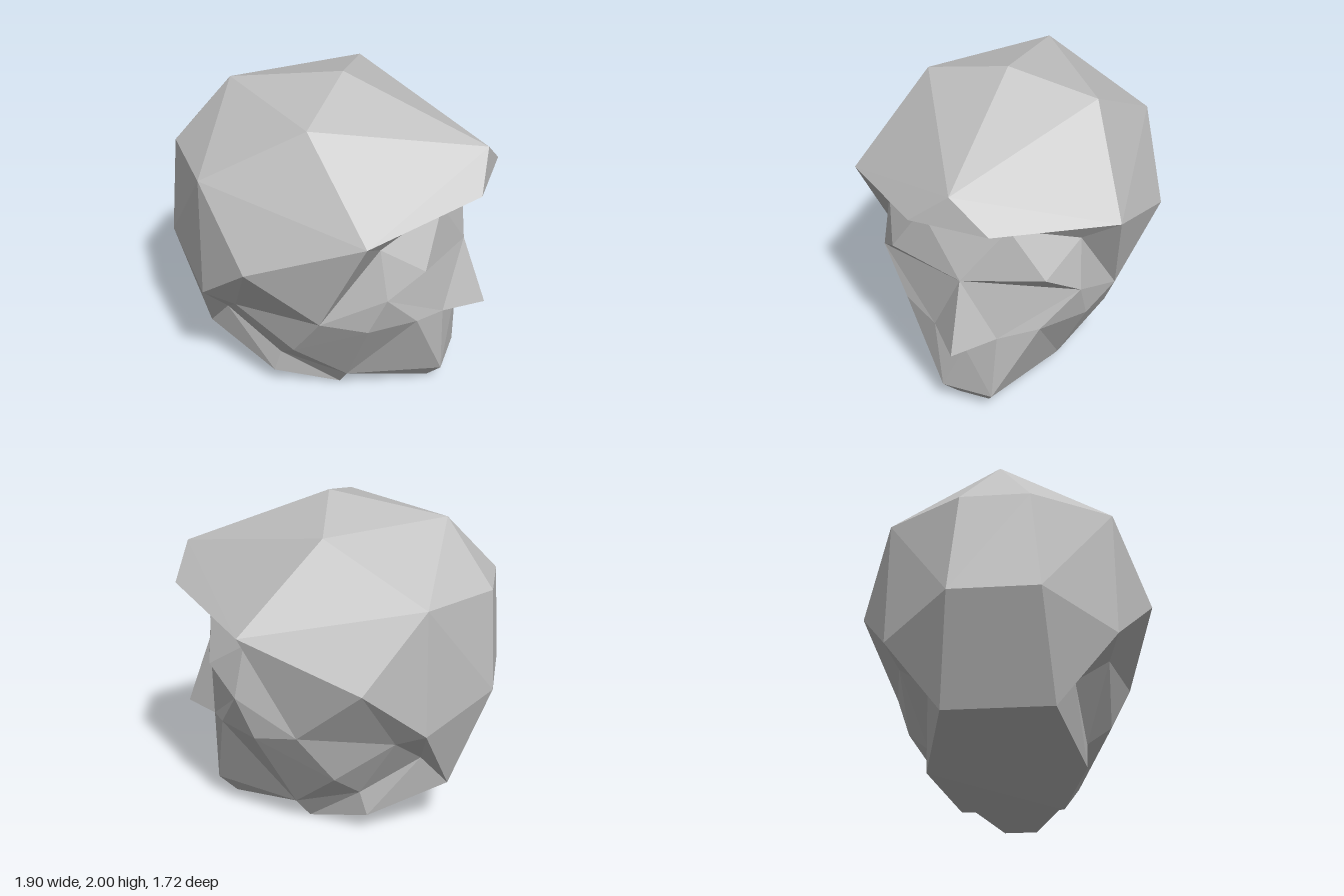
import * as THREE from 'three';

// Corner points of the +z half; z = 0 points lie on the symmetry plane.
const P = {
  // skull
  crown: [0.05, 2, 0], crownBack: [-0.64, 1.87, 0], crownSide: [0, 1.87, 0.52],
  sideBack: [-0.6, 1.53, 0.65], browCorner: [0.43, 1.37, 0.815], hairTip: [0.91, 1.65, 0],
  hairEdge: [0.93, 1.46, 0.235], backTop: [-0.925, 1.51, 0.2], backLow: [-0.955, 0.915, 0.26],
  ear: [-0.27, 1.09, 0.86], earBack: [-0.61, 0.775, 0.66], nape: [-0.715, 0.31, 0.315],
  // face
  temple: [0.125, 0.73, 0.71], brow: [0.71, 1.375, 0.26], socket: [0.445, 1.235, 0.592],
  eye: [0.68, 1.06, 0.47], bridge: [0.8, 1.02, 0], cheek: [0.5, 0.915, 0.617],
  cheekLow: [0.39, 0.67, 0.62], cheekFront: [0.63, 0.665, 0.42],
  nostril: [0.735, 0.605, 0.195], noseTip: [0.95, 0.585, 0], noseBase: [0.755, 0.495, 0],
  // jaw and neck
  chin: [0.735, 0.14, 0.158], chinLow: [0.635, 0.02, 0.1], jaw: [-0.075, 0.42, 0.595],
  jawLow: [0.195, 0.14, 0.385], jawBack: [-0.205, 0.275, 0.455], earLow: [-0.43, 0.685, 0.6],
  neckBack: [-0.56, 0.515, 0.41], neckSide: [-0.25, 0.12, 0.455], neckFront: [0.125, 0, 0.3],
  throat: [0.21, 0.045, 0],
};

// A trailing ' on a point name means its mirrored twin on the -z side.
function point(name) {
  const [x, y, z] = P[name.replace("'", '')];
  return [x, y, name.endsWith("'") ? -z : z];
}

// Builds a faceted part: sides are mirrored across z, middles are used once.
function part(name, material, sides, middles = []) {
  const positions = [];
  const add = (corners) => {
    for (let i = 1; i < corners.length - 1; i++) {
      positions.push(...corners[0], ...corners[i], ...corners[i + 1]);
    }
  };
  for (const face of sides) {
    const corners = face.split(' ').map(point);
    add(corners);
    add(corners.map(([x, y, z]) => [x, y, -z]).reverse());
  }
  for (const face of middles) add(face.split(' ').map(point));
  const geometry = new THREE.BufferGeometry();
  geometry.setAttribute('position', new THREE.Float32BufferAttribute(positions, 3));
  geometry.computeVertexNormals();
  const mesh = new THREE.Mesh(geometry, material);
  mesh.name = name;
  return mesh;
}

export function createModel() {
  const grey = new THREE.MeshStandardMaterial({ color: 0xc0c0c0, flatShading: true });
  grey.name = 'plain grey';
  const head = new THREE.Group();
  head.name = 'head';

  head.add(
    part('cranium', grey, [
      'crown crownBack crownSide', 'crownBack sideBack crownSide', 'crownBack backTop sideBack',
      'crownSide sideBack browCorner', 'sideBack ear browCorner', 'sideBack earBack ear',
      'sideBack backTop backLow', 'sideBack backLow earBack', 'earBack backLow nape',
      'crown crownSide hairTip', 'crownSide browCorner hairTip', 'browCorner hairEdge hairTip',
    ], [
      "crownBack backTop' backTop", "backTop backTop' backLow' backLow",
      "backLow backLow' nape' nape", "hairTip hairEdge hairEdge'",
    ]),
    part('browUnderside', grey, [
      'browCorner brow hairEdge', 'browCorner socket brow', 'browCorner temple socket',
      'ear temple browCorner', 'ear earLow temple', 'ear earBack earLow',
    ], ["hairEdge brow brow' hairEdge'"]),
    part('eyesAndForehead', grey, [
      'temple cheek socket', 'socket cheek eye', 'socket eye brow', 'brow eye bridge',
      'eye cheek bridge',
    ], ["brow bridge brow'"]),
    part('nose', grey, ['bridge nostril noseTip', 'nostril noseBase noseTip']),
    part('cheeks', grey, [
      'temple cheekLow cheek', 'cheekLow cheekFront cheek', 'cheek cheekFront nostril',
      'cheek nostril bridge', 'cheekFront chin nostril', 'nostril chin noseBase',
    ], ["noseBase chin chin'"]),
    part('jaw', grey, [
      'temple jaw cheekLow', 'cheekLow jaw jawLow', 'cheekLow jawLow cheekFront',
      'cheekFront jawLow chin', 'temple earLow jaw', 'earLow jawBack jaw',
      'earLow neckBack jawBack', 'jaw jawBack jawLow', 'jawLow throat chinLow',
      'jawLow chinLow chin',
    ], ["chin chinLow chinLow' chin'", "chinLow throat chinLow'"]),
    part('neck', grey, [
      'earBack neckBack earLow', 'earBack nape neckBack', 'nape neckSide neckBack',
      'neckBack neckSide jawBack', 'jawBack neckSide neckFront', 'jawBack neckFront jawLow',
      'jawLow neckFront throat',
    ], [
      "throat neckFront neckFront'",
      "neckFront neckSide nape nape' neckSide' neckFront'",
    ]),
  );
  return head;
}
